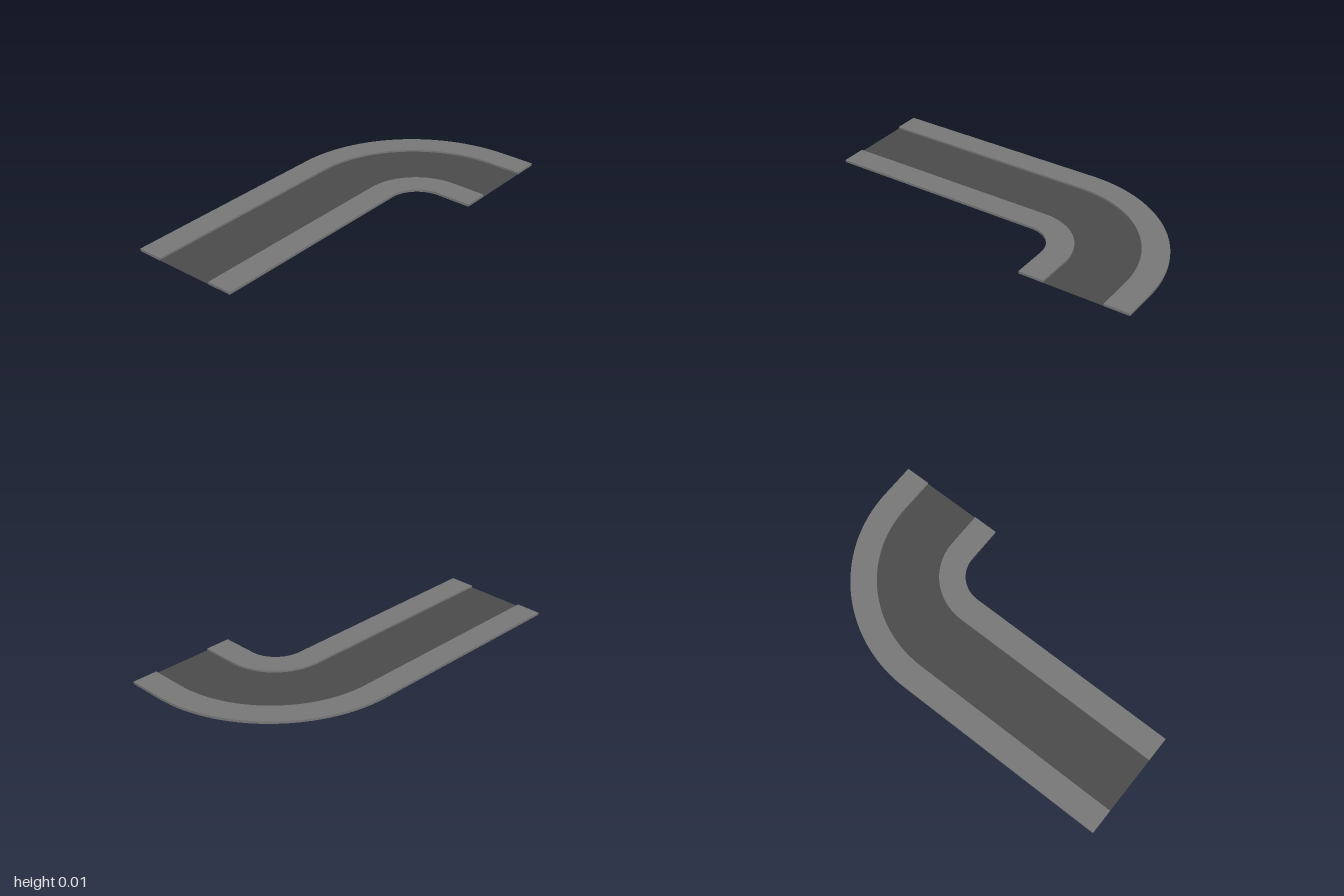
import * as THREE from 'three';

// Bend centre in plan (plan y = -z) and the two open ends of the road
const CX = 0.29, CY = 0.22, END_X = 0.486, END_Y = -1;

// Strip following the road between two bend radii, extruded up from the ground
function strip(name, inner, outer, height, color) {
  const s = new THREE.Shape();
  s.moveTo(CX - outer, END_Y);
  s.lineTo(CX - outer, CY);
  s.absarc(CX, CY, outer, Math.PI, Math.PI / 2, true);
  s.lineTo(END_X, CY + outer);
  s.lineTo(END_X, CY + inner);
  s.lineTo(CX, CY + inner);
  s.absarc(CX, CY, inner, Math.PI / 2, Math.PI, false);
  s.lineTo(CX - inner, END_Y);
  s.closePath();
  const geo = new THREE.ExtrudeGeometry(s, { depth: height, bevelEnabled: false, curveSegments: 24 });
  geo.rotateX(-Math.PI / 2);
  const mesh = new THREE.Mesh(geo, new THREE.MeshStandardMaterial({ color }));
  mesh.name = name;
  return mesh;
}

export function createModel() {
  const group = new THREE.Group();
  group.name = 'roadBend';
  group.add(
    strip('innerPavement', 0.17, 0.31, 0.0135, 0x777777),
    strip('roadSurface', 0.31, 0.64, 0.003, 0x4a4a4a),
    strip('outerPavement', 0.64, 0.78, 0.0135, 0x777777),
  );
  return group;
}
